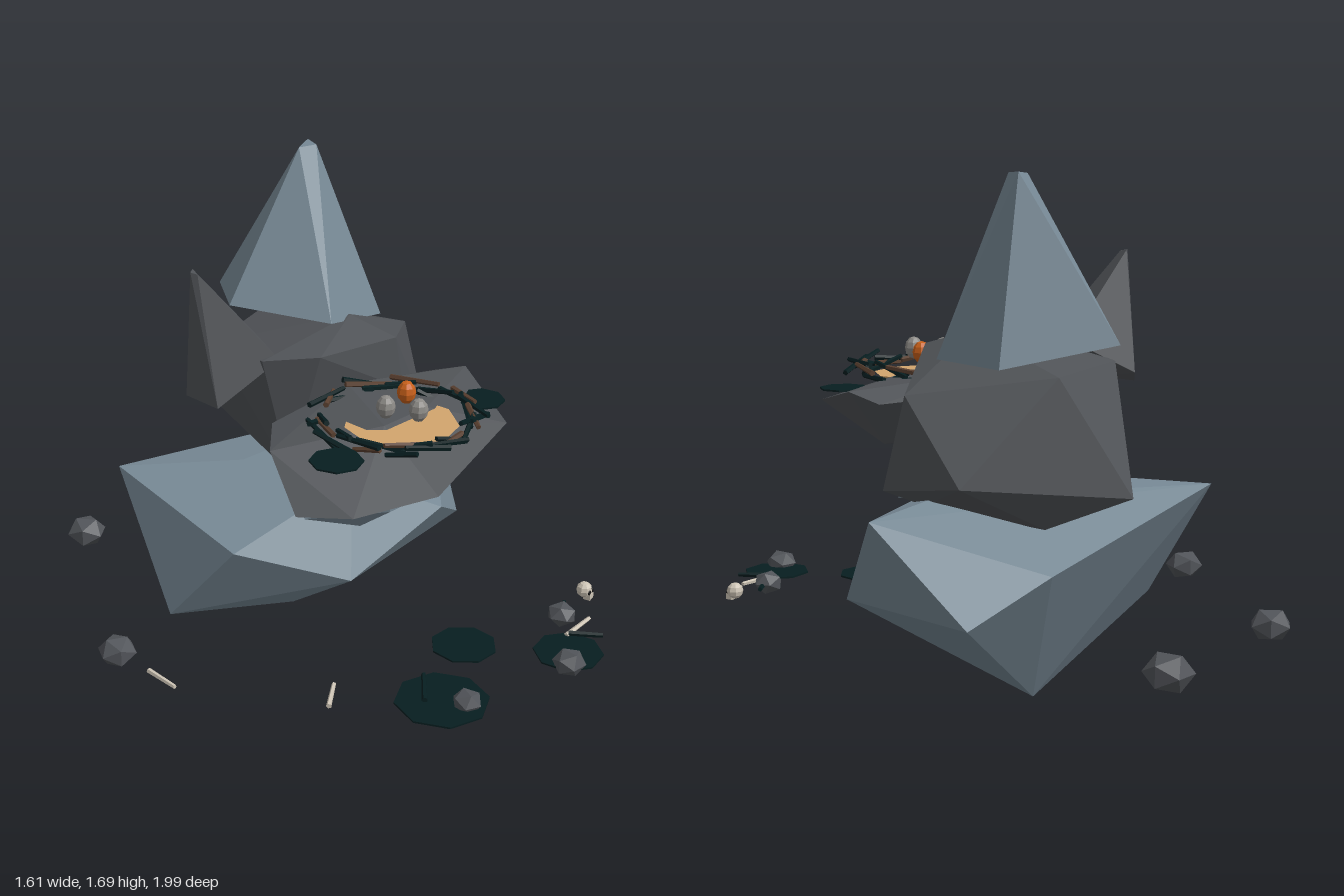
import * as THREE from 'three';
import { ConvexGeometry } from 'three/addons/geometries/ConvexGeometry.js';

const V = (p) => new THREE.Vector3(...p);

function material(name, color, extra = {}) {
  const m = new THREE.MeshStandardMaterial({ color, flatShading: true, ...extra });
  m.name = name;
  return m;
}

export function createModel() {
  const group = new THREE.Group();
  const slate = material('slate stone', 0x768894);
  const dark = material('dark stone', 0x505357);
  const pebble = material('pebble stone', 0x515459);
  const moss = material('dark moss', 0x071e20, { side: THREE.DoubleSide });
  const bark = material('brown bark', 0x5a4030);
  const straw = material('straw', 0xd2a56d, { side: THREE.DoubleSide });
  const greyEgg = material('grey eggshell', 0x8c8a86);
  const orangeEgg = material('orange eggshell', 0xc8601a);
  const bone = material('bone', 0xccc3b4);
  const socket = material('socket black', 0x151515);

  function add(name, geometry, mat, pos = [0, 0, 0], parent = group) {
    const mesh = new THREE.Mesh(geometry, mat);
    mesh.name = name;
    mesh.position.set(...pos);
    parent.add(mesh);
    return mesh;
  }
  // Faceted boulder wrapped around its corner points
  const boulder = (name, mat, pts) => add(name, new ConvexGeometry(pts.map(V)), mat);
  // Thin stick between two points
  function stick(name, mat, a, b, r, parent = group) {
    const d = V(b).sub(V(a));
    const mesh = add(name, new THREE.CylinderGeometry(r * 0.8, r, d.length(), 5), mat,
      V(a).add(V(b)).multiplyScalar(0.5).toArray(), parent);
    mesh.quaternion.setFromUnitVectors(new THREE.Vector3(0, 1, 0), d.normalize());
  }
  let seed = 7;
  const rand = () => (seed = (seed * 16807) % 2147483647) / 2147483647;
  const vary = (amount) => (rand() - 0.5) * 2 * amount;

  // Stacked boulders
  boulder('baseBoulder', slate, [
    [-0.41, 0.66, -0.49], [-0.45, 0.23, -0.175], [-0.36, 0.53, 0.06], [-0.045, 0.405, 0.285],
    [0.38, 0.53, 0.28], [0.8, 0.667, -0.21], [0.7, 0.38, -0.535], [0.4, 0.5, -0.577],
    [0.165, 0, -0.245], [0.65, 0.345, 0.1], [0.55, 0.7, -0.2], [-0.1, 0.69, -0.2], [0.1, 0.68, 0.13],
  ]);
  boulder('neckBoulder', slate, [
    [-0.175, 0.76, 0.18], [-0.175, 0.65, 0.2], [0.035, 0.565, 0.24], [0.3, 0.595, 0.27],
    [0.31, 0.76, 0.15], [0.06, 0.72, 0.345], [0.08, 0.64, 0.335], [0.2, 0.81, 0.2],
    [-0.1, 0.8, 0], [0.25, 0.8, 0], [0, 0.6, -0.05],
  ]);
  boulder('middleBoulder', dark, [
    [0.115, 0.705, -0.635], [0.61, 1.02, -0.15], [0.61, 0.71, -0.04], [0.61, 0.765, -0.4],
    [0.24, 1.18, -0.04], [-0.105, 1.08, -0.34], [0.3, 1.08, -0.5], [0.3, 0.605, -0.44],
    [0.3, 1.13, 0.12], [0.32, 0.945, 0.14], [0.3, 0.7, 0.07], [-0.05, 0.695, -0.02],
    [-0.145, 1.12, -0.04], [0, 1.13, 0.08], [0.535, 0.67, -0.15], [-0.1, 0.92, -0.03],
  ]);
  boulder('ledgeBoulder', dark, [
    [-0.38, 0.81, 0.39], [-0.32, 0.945, 0.2], [-0.19, 0.95, 0.06], [-0.27, 0.82, 0.53],
    [-0.02, 0.855, 0.645], [0.43, 0.915, 0.51], [0.545, 0.985, 0.21], [0.5, 0.95, 0.11],
    [0.06, 0.745, 0.4], [-0.17, 0.77, 0.25], [0.37, 0.79, 0.25], [0.1, 1.015, 0.1],
    [0, 0.995, 0.38], [0.2, 0.995, 0.37],
  ]);

  // Tapered spires
  boulder('tallSpire', slate, [
    [0.12, 1.17, -0.58], [0.47, 1.11, -0.42], [0.44, 1.11, -0.1], [0.12, 1.19, 0],
    [-0.065, 1.215, -0.3], [0.27, 1.682, -0.33], [0.345, 1.688, -0.37], [0.33, 1.685, -0.31],
  ]);
  boulder('shortSpire', dark, [
    [-0.16, 1.04, -0.375], [-0.31, 0.985, -0.23], [-0.3, 0.985, -0.08], [-0.08, 1.11, -0.03],
    [-0.04, 1.14, -0.2], [-0.303, 1.42, -0.2], [-0.278, 1.42, -0.22], [-0.29, 1.415, -0.18],
  ]);

  // Nest: straw floor ringed by loosely crossed twigs
  const nest = new THREE.Group();
  nest.name = 'nest';
  nest.position.set(0.07, 0.985, 0.385);
  group.add(nest);
  add('nestFloor', new THREE.CylinderGeometry(0.185, 0.17, 0.008, 9), straw, [0, -0.002, 0], nest);
  const twigs = 36;
  for (let i = 0; i < twigs; i++) {
    const a = (i / twigs) * Math.PI * 2 + vary(0.12);
    const r = 0.235 + vary(0.03), y = 0.02 + vary(0.025);
    const half = 0.05 + rand() * 0.045, turn = a + Math.PI / 2 + vary(0.45), lift = vary(0.025);
    const c = [Math.cos(a) * r, Math.sin(a) * r], d = [Math.cos(turn) * half, Math.sin(turn) * half];
    stick('nestTwig', i % 4 === 1 ? bark : moss,
      [c[0] - d[0], y - lift, c[1] - d[1]], [c[0] + d[0], y + lift, c[1] + d[1]], 0.01, nest);
  }

  // Eggs
  for (const [x, z, mat] of [[0, 0.385, greyEgg], [0.06, 0.47, greyEgg], [0.125, 0.35, orangeEgg]]) {
    add('egg', new THREE.SphereGeometry(0.031, 8, 6), mat, [x, 1.063, z]).scale.y = 1.25;
  }

  // Flat moss patches: x, y, z, radius
  for (const [x, y, z, r] of [
    [-0.14, 0.243, 0.805, 0.152], [0.365, 0.243, 0.885, 0.115], [0.14, 0.243, 0.63, 0.11],
    [-0.25, 0.975, 0.43, 0.085], [0.42, 0.965, 0.4, 0.08],
  ]) {
    add('mossPatch', new THREE.CylinderGeometry(r, r, 0.006, 8), moss, [x, y, z]).rotation.y = 0.3 + x;
  }

  // Scattered stones: x, z, radius
  for (const [x, z, r] of [
    [-0.74, -0.08, 0.066], [-0.35, -0.8, 0.071], [0.26, -0.92, 0.08],
    [0.51, 0.73, 0.052], [0.305, 0.94, 0.056], [-0.1, 0.875, 0.05],
  ]) {
    const s = add('looseStone', new THREE.IcosahedronGeometry(r, 0), pebble, [x, 0.256, z]);
    s.rotation.y = z * 5;
    s.scale.y = 0.8;
  }

  // Bones and fallen twigs on the ground
  for (const [a, b] of [
    [[-0.43, 0.6], [-0.335, 0.52]], [[0.43, 0.82], [0.57, 0.8]], [[-0.727, 0.07], [-0.722, 0.2]],
  ]) stick('looseBone', bone, [a[0], 0.247, a[1]], [b[0], 0.247, b[1]], 0.009);
  for (const [a, b] of [
    [[-0.19, 0.78], [-0.09, 0.675]], [[0.44, 0.82], [0.515, 0.905]], [[0.52, 0.74], [0.58, 0.68]],
  ]) stick('fallenTwig', moss, [a[0], 0.252, a[1]], [b[0], 0.252, b[1]], 0.01);

  // Small skull
  const skull = new THREE.Group();
  skull.name = 'skull';
  skull.position.set(0.678, 0.265, 0.685);
  skull.rotation.y = 0.3;
  group.add(skull);
  add('cranium', new THREE.SphereGeometry(0.028, 8, 6), bone, [0, 0, 0], skull);
  add('jaw', new THREE.BoxGeometry(0.03, 0.02, 0.025), bone, [0, -0.02, 0.016], skull);
  for (const side of [-1, 1]) {
    add('eyeSocket', new THREE.SphereGeometry(0.009, 6, 4), socket, [side * 0.011, -0.002, 0.024], skull).scale.z = 0.5;
  }
  return group;
}
